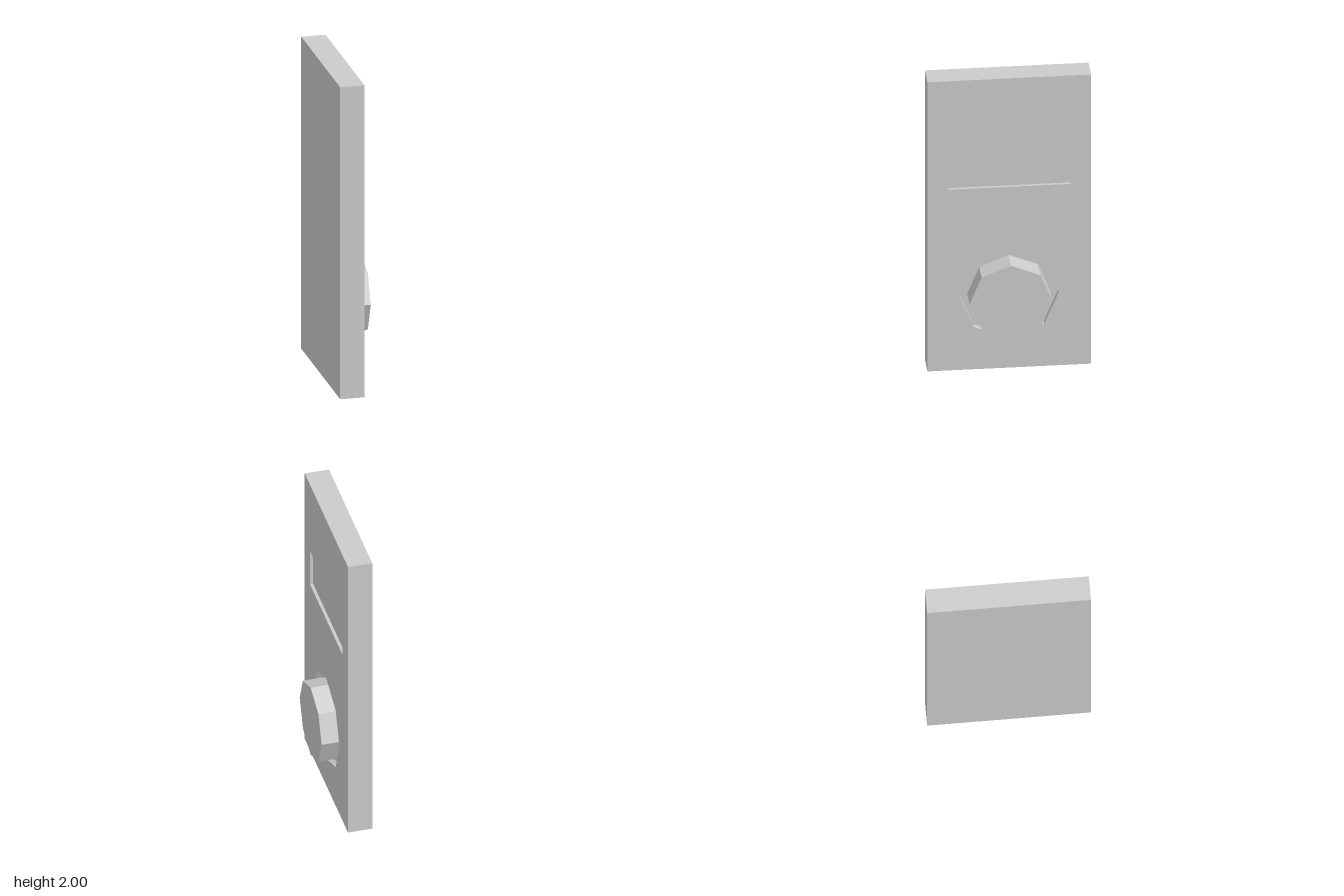
import * as THREE from 'three';

const BACK = -0.127, FACE = 0.026, KNOB_FRONT = 0.125;
const PIT = 0.04, SLOT_DEPTH = 0.02;
const DIAL_Y = 0.505;

// Closed outline helpers, drawn in the plane of the panel
function rect(Type, w, y0, y1) {
  return new Type([[-w, y0], [w, y0], [w, y1], [-w, y1]].map(p => new THREE.Vector2(...p)));
}
function octagon(Type, r) {
  return new Type(Array.from({ length: 8 }, (_, i) => {
    const a = i * Math.PI / 4;
    return new THREE.Vector2(r * Math.cos(a), DIAL_Y + r * Math.sin(a));
  }));
}

export function createModel() {
  const group = new THREE.Group();
  const material = new THREE.MeshStandardMaterial({ color: 0xcccccc, flatShading: true });

  // Extrude an outline along +x between two depths
  function slab(name, shape, x0, x1) {
    const geometry = new THREE.ExtrudeGeometry(shape, { depth: x1 - x0, bevelEnabled: false });
    geometry.rotateY(Math.PI / 2).translate(x0, 0, 0);
    const mesh = new THREE.Mesh(geometry, material);
    mesh.name = name;
    group.add(mesh);
  }

  // Solid back of the panel
  slab('panelBack', rect(THREE.Shape, 0.5, 0, 2), BACK, FACE - PIT);

  // Front plate with openings for the slot and the dial
  const plate = rect(THREE.Shape, 0.5, 0, 2);
  plate.holes.push(rect(THREE.Path, 0.378, 1.25, 1.503), octagon(THREE.Path, 0.303));
  slab('panelFront', plate, FACE - PIT, FACE);

  // Shallow floor of the display slot
  slab('displayFloor', rect(THREE.Shape, 0.378, 1.25, 1.503), FACE - PIT, FACE - SLOT_DEPTH);

  // Eight-sided dial standing in its recess
  slab('dial', octagon(THREE.Shape, 0.253), FACE - PIT, KNOB_FRONT);

  return group;
}
